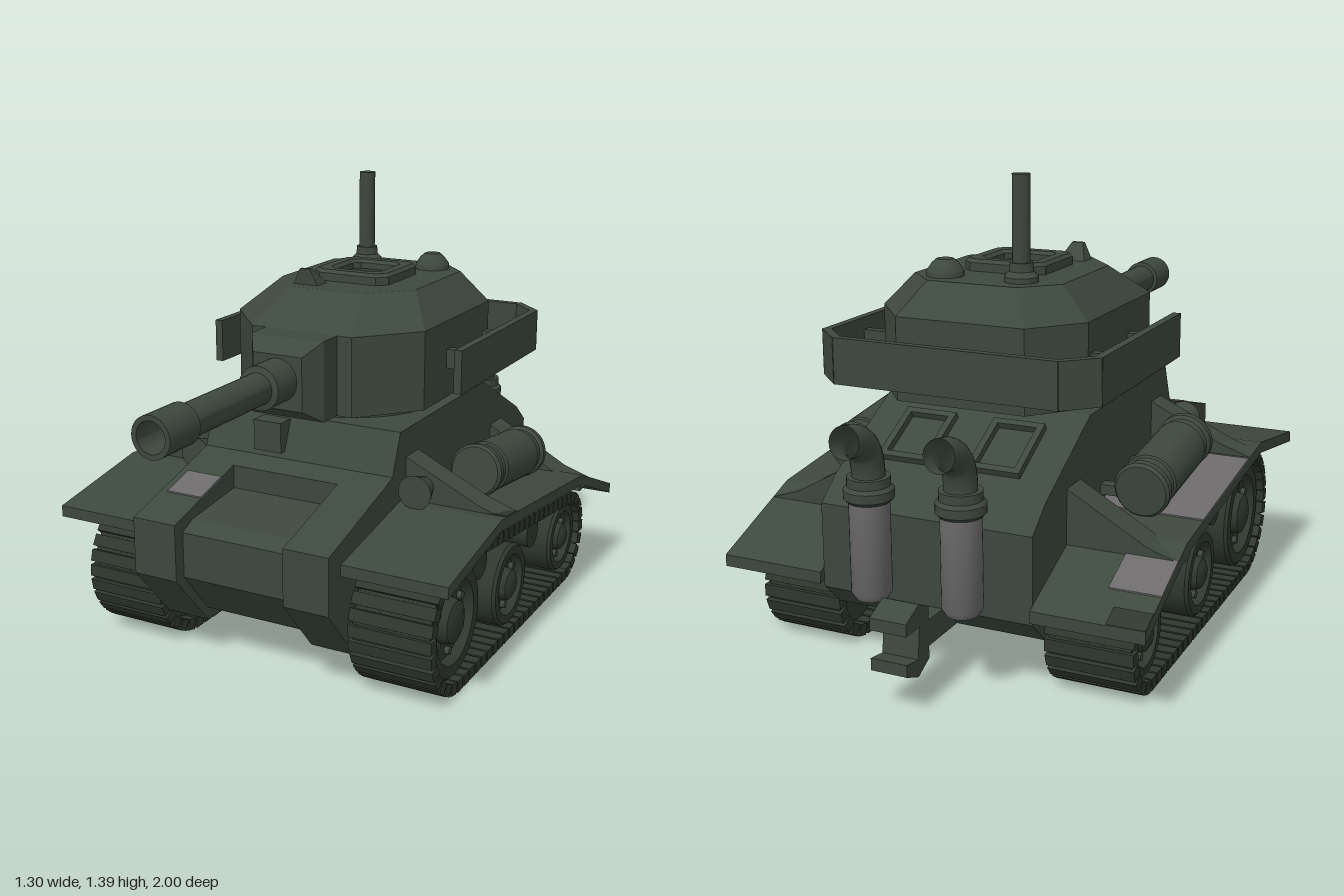
import * as THREE from 'three';
import { mergeGeometries, toCreasedNormals } from 'three/addons/utils/BufferGeometryUtils.js';

const mat = (name, color, side = THREE.FrontSide) => {
  const m = new THREE.MeshStandardMaterial({ color, side });
  m.name = name;
  return m;
};

export function createModel() {
  const root = new THREE.Group();
  root.name = 'tank';
  const green = mat('armourGreen', 0x3d483e, THREE.DoubleSide);
  const dark = mat('darkGreen', 0x2f382f);
  const grey = mat('bareMetal', 0x6c6a6a);

  const add = (name, geo, m = green, x = 0, y = 0, z = 0, parent = root) => {
    const mesh = new THREE.Mesh(geo, m);
    mesh.name = name;
    mesh.position.set(x, y, z);
    parent.add(mesh);
    return mesh;
  };
  const box = (name, x0, x1, y0, y1, z0, z1, m = green) => add(name,
    new THREE.BoxGeometry(Math.abs(x1 - x0), y1 - y0, Math.abs(z1 - z0)), m, (x0 + x1) / 2, (y0 + y1) / 2, (z0 + z1) / 2);
  const shape = pts => new THREE.Shape(pts.map(p => new THREE.Vector2(...p)));

  // side profile of [z, y] points, extruded from x0 to x1
  const slab = (name, pts, x0, x1, m = green) => {
    const g = new THREE.ExtrudeGeometry(shape(pts), { depth: Math.abs(x1 - x0), bevelEnabled: false });
    return add(name, g.rotateY(-Math.PI / 2).translate(Math.max(x0, x1), 0, 0), m);
  };
  // turned profile of [radius, height] points, about y
  const turned = (pts, seg = 32) =>
    toCreasedNormals(new THREE.LatheGeometry(pts.map(p => new THREE.Vector2(...p)), seg), 0.6);

  // stacked cross-sections, mirrored in x: { y, half: [x, z] from front to back }
  const loft = layers => {
    const loops = layers.map(({ y, half }) => [
      ...half.map(([x, z]) => [x, y, z]),
      ...[...half].reverse().map(([x, z]) => [-x, y, z])]);
    const out = [], n = loops[0].length;
    const tri = (...p) => p.forEach(v => out.push(...v));
    for (let k = 0; k + 1 < loops.length; k++) {
      for (let i = 0; i < n; i++) {
        const a = loops[k], b = loops[k + 1], j = (i + 1) % n;
        tri(a[i], a[j], b[j]);
        tri(a[i], b[j], b[i]);
      }
    }
    const lo = loops[0], hi = loops[loops.length - 1];
    for (let i = 1; i + 1 < n; i++) {
      tri(hi[0], hi[i], hi[i + 1]);
      tri(lo[0], lo[i + 1], lo[i]);
    }
    const g = new THREE.BufferGeometry();
    g.setAttribute('position', new THREE.Float32BufferAttribute(out, 3));
    g.computeVertexNormals();
    return g;
  };

  // hull: a main body, a lower nose and two cheek blocks
  slab('hullBody', [[0.34, 0.165], [0.34, 0.572], [0.27, 0.595], [0.22, 0.72], [-0.41, 0.72], [-0.72, 0.555],
    [-0.8, 0.49], [-0.8, 0.24], [-0.72, 0.165]], -0.325, 0.325);
  slab('hullNose', [[0.34, 0.165], [0.5, 0.165], [0.62, 0.31], [0.62, 0.45], [0.57, 0.475], [0.34, 0.5]], -0.18, 0.18);
  for (const s of [-1, 1]) {
    slab('hullCheek', [[0.34, 0.125], [0.5, 0.125], [0.66, 0.31], [0.66, 0.485], [0.6, 0.5], [0.34, 0.574]], s * 0.18, s * 0.325);
  }
  box('driverVisor', -0.14, -0.045, 0.615, 0.71, 0.2, 0.285);
  const vent = new THREE.Shape([[-0.08, -0.1], [0.08, -0.1], [0.08, 0.1], [-0.08, 0.1]].map(p => new THREE.Vector2(...p)));
  vent.holes.push(new THREE.Path([[-0.06, -0.08], [-0.06, 0.08], [0.06, 0.08], [0.06, -0.08]].map(p => new THREE.Vector2(...p))));
  for (const x of [-0.14, 0.14]) {
    const g = new THREE.ExtrudeGeometry(vent, { depth: 0.02, bevelEnabled: false }).rotateX(-Math.PI / 2);
    add('engineVent', g, green, x, 0.638, -0.565).rotation.x = -0.49;
  }

  // fenders, with patches laid on their upper face
  const fenderTop = [[0.59, 0.44], [0.22, 0.505], [-0.5, 0.42], [-0.82, 0.29]];
  const topAt = z => {
    const i = z > 0.22 ? 0 : z > -0.5 ? 1 : 2;
    const [a, b] = [fenderTop[i], fenderTop[i + 1]];
    return a[1] + (b[1] - a[1]) * (z - a[0]) / (b[0] - a[0]);
  };
  const patch = (x0, x1, z0, z1, m) => slab('paintPatch',
    [[z0, topAt(z0) - 0.002], [z1, topAt(z1) - 0.002], [z1, topAt(z1) + 0.004], [z0, topAt(z0) + 0.004]], x0, x1, m);
  patch(-0.65, -0.33, 0.08, -0.36, grey);
  patch(-0.65, -0.5, -0.57, -0.7, grey);
  patch(-0.65, -0.54, -0.76, -0.82, dark);
  patch(0.58, 0.65, 0.18, 0.1, dark);
  slab('hullPatch', [[0.52, 0.521], [0.41, 0.552], [0.41, 0.558], [0.52, 0.527]], -0.3, -0.18, grey);

  // running gear path, [z, y]
  const topAngle = Math.PI / 2 + 2 * Math.atan2(0.055, 0.905);
  const path = new THREE.Path();
  path.absarc(0.335, 0.215, 0.195, -Math.PI / 2, topAngle, false);
  path.absarc(-0.57, 0.16, 0.14, topAngle, Math.PI * 1.5, false);
  path.closePath();
  const links = [], count = 64, step = path.getLength() / count;
  for (let i = 0; i < count; i++) {
    const p = path.getPointAt(i / count), t = path.getTangentAt(i / count);
    const place = g => links.push(g.rotateX(Math.atan2(-t.y, t.x)).translate(0, p.y, p.x));
    place(new THREE.BoxGeometry(0.26, 0.036, step * 0.82));
    place(new THREE.BoxGeometry(0.24, 0.014, step * 1.08));
  }
  const trackGeo = mergeGeometries(links);

  const wheelGeo = r => turned([[0, -0.1], [r, -0.1], [r, 0.09], [r * 0.94, 0.1], [r * 0.74, 0.1], [r * 0.68, 0.07],
    [r * 0.4, 0.07], [r * 0.36, 0.1], [r * 0.22, 0.11], [0, 0.11]], 36).rotateZ(-Math.PI / 2);
  const boltGeo = new THREE.CylinderGeometry(0.013, 0.013, 0.03, 8).rotateZ(Math.PI / 2);
  const drumGeo = turned([[0, -0.205], [0.075, -0.205], [0.083, -0.195], [0.083, -0.175], [0.074, -0.165], [0.074, -0.135],
    [0.08, -0.13], [0.08, 0.13], [0.074, 0.135], [0.074, 0.165], [0.083, 0.175], [0.083, 0.195], [0.075, 0.205], [0, 0.205]])
    .rotateX(Math.PI / 2);

  for (const s of [-1, 1]) {
    slab('fender', [...fenderTop, ...[...fenderTop].reverse().map(([z, y]) => [z, y - 0.035])], s * 0.325, s * 0.65);
    add('track', trackGeo, dark, s * 0.455);

    for (const [z, y, r] of [[0.335, 0.215, 0.176], [-0.095, 0.165, 0.133], [-0.57, 0.16, 0.12]]) {
      const wheel = new THREE.Group();
      wheel.name = 'roadWheel';
      wheel.position.set(s * 0.465, y, z);
      wheel.rotation.y = s < 0 ? Math.PI : 0;
      root.add(wheel);
      add('wheelDisc', wheelGeo(r), dark, 0, 0, 0, wheel);
      for (let i = 0; i < 6; i++) {
        const a = i * Math.PI / 3;
        add('wheelBolt', boltGeo, green, 0.07, Math.cos(a) * r * 0.54, Math.sin(a) * r * 0.54, wheel);
      }
    }
    for (const [z, y] of [[0.1, 0.305], [-0.345, 0.25]]) {
      add('returnRoller', new THREE.CylinderGeometry(0.052, 0.052, 0.22, 24).rotateZ(Math.PI / 2), dark, s * 0.43, y, z);
    }

    // sloping fender braces
    for (const [z, y, d] of [[0.095, 0.635, 0.085], [-0.575, 0.555, 0.095]]) {
      const low = topAt(z) - 0.02;
      const g = new THREE.ExtrudeGeometry(
        shape([[s * 0.32, low], [s * 0.65, low], [s * 0.65, low + 0.02], [s * 0.56, low + 0.05], [s * 0.32, y]]),
        { depth: d, bevelEnabled: false });
      add('fenderBrace', g, green, 0, 0, z);
    }
    add('fuelDrum', drumGeo, green, s * 0.475, 0.535, -0.195).rotation.x = -0.12;
    box('drumStrap', s * 0.32, s * 0.42, 0.47, 0.5, -0.1, -0.06);
    box('drumStrap', s * 0.32, s * 0.42, 0.46, 0.49, -0.33, -0.29);
    add('headlamp', toCreasedNormals(new THREE.CylinderGeometry(0.053, 0.03, 0.07, 24).rotateX(Math.PI / 2), 0.6),
      green, s * 0.385, 0.55, 0.21);

    // exhaust stack with an open elbow
    add('exhaustStack', turned([[0, 0.26], [0.045, 0.26], [0.057, 0.28], [0.057, 0.55], [0, 0.55]]), grey, s * 0.14, 0, -0.845);
    add('exhaustCollar', turned([[0, 0.54], [0.06, 0.54], [0.07, 0.55], [0.07, 0.575], [0.06, 0.585], [0.06, 0.61], [0, 0.61]]),
      green, s * 0.14, 0, -0.845);
    const bend = new THREE.CatmullRomCurve3([[0.59, -0.845], [0.64, -0.847], [0.69, -0.865], [0.722, -0.905], [0.733, -0.96]]
      .map(([y, z]) => new THREE.Vector3(s * 0.14, y, z)));
    add('exhaustElbow', new THREE.TubeGeometry(bend, 20, 0.046, 20), green);
    box('exhaustBracket', s * 0.11, s * 0.17, 0.33, 0.37, -0.79, -0.82);
  }

  // tow hitch
  box('hitchBar', -0.055, 0.055, 0.165, 0.24, -0.72, -0.93);
  slab('hitchJaw', [[-0.88, 0.13], [-0.94, 0.1], [-1, 0.125], [-1, 0.16], [-0.94, 0.15], [-0.93, 0.24],
    [-1, 0.24], [-1, 0.275], [-0.93, 0.305], [-0.88, 0.28]], -0.055, 0.055);

  // turret
  add('turretRing', toCreasedNormals(new THREE.CylinderGeometry(0.29, 0.29, 0.05, 40), 0.6), green, 0, 0.732, -0.1);
  const plan = [[0.17, 0.235], [0.325, 0.06], [0.325, -0.43], [0.2, -0.58]];
  add('turretBody', loft([
    { y: 0.745, half: plan }, { y: 0.99, half: plan },
    { y: 1.085, half: [[0.12, 0.075], [0.235, -0.06], [0.235, -0.4], [0.14, -0.5]] }]));
  const square = (y, r) => ({ y, half: [[r, r], [r, -r]] });
  add('gunMantlet', loft([square(0.2, 0.122), square(0.315, 0.122), square(0.375, 0.082)]).rotateX(Math.PI / 2), green, 0, 0.868, 0);
  add('gunBarrel', turned([[0.066, 0.36], [0.066, 0.48], [0.048, 0.485], [0.048, 0.86], [0.06, 0.862], [0.06, 1],
    [0.045, 1], [0.04, 0.88], [0, 0.88]]).rotateX(Math.PI / 2), green, 0, 0.874, 0);

  // roof fittings
  const octagon = (r, c) => [[r, c - r], [r, r - c], [r - c, r], [c - r, r], [-r, r - c], [-r, c - r], [c - r, -r], [r - c, -r]];
  const frame = shape(octagon(0.12, 0.025));
  frame.holes.push(new THREE.Path(octagon(0.09, 0.025).reverse().map(p => new THREE.Vector2(...p))));
  add('hatchRim', new THREE.ExtrudeGeometry(frame,
    { depth: 0.025, bevelThickness: 0.01, bevelSize: 0.01, bevelSegments: 1 }).rotateX(-Math.PI / 2), green, 0, 1.085, -0.185);
  add('hatchFloor', new THREE.BoxGeometry(0.19, 0.008, 0.19), dark, 0, 1.087, -0.185);
  add('antennaBase', turned([[0, 1.06], [0.05, 1.06], [0.05, 1.1], [0.036, 1.115], [0.034, 1.14], [0, 1.14]], 20), green, -0.11, 0, -0.405);
  add('antennaRod', toCreasedNormals(new THREE.CylinderGeometry(0.026, 0.026, 0.26, 20), 0.6), green, -0.11, 1.257, -0.405);
  add('roofDome', turned([[0, 1.06], [0.055, 1.06], [0.055, 1.1], [0.04, 1.122], [0.025, 1.135], [0, 1.137]], 24), green, 0.13, 0, -0.41);
  add('gunSight', loft([
    { y: 1.07, half: [[0.05, 0.04], [0.05, -0.03]] }, { y: 1.135, half: [[0.018, 0.045], [0.018, 0.03]] }]), green, -0.1, 0, -0.01);

  // stowage rail around the turret, as plates between corner points [x, z]
  const rail = [[0.422, 0.03], [0.422, -0.59], [0.34, -0.67], [-0.34, -0.67], [-0.422, -0.59], [-0.422, 0.03]];
  for (let i = 0; i + 1 < rail.length; i++) {
    const [x0, z0] = rail[i], [x1, z1] = rail[i + 1];
    const length = Math.hypot(x1 - x0, z1 - z0) + 0.012;
    const plate = add('railPlate', new THREE.BoxGeometry(0.025, 0.135, length), green, (x0 + x1) / 2, 0.87, (z0 + z1) / 2);
    plate.rotation.y = Math.atan2(x1 - x0, z1 - z0);
  }
  for (const s of [-1, 1]) {
    box('railBracket', s * 0.1, s * 0.13, 0.83, 0.9, -0.57, -0.665);
    box('railBracket', s * 0.32, s * 0.415, 0.84, 0.9, -0.1, -0.13);
    box('railBracket', s * 0.32, s * 0.415, 0.84, 0.9, -0.38, -0.41);
  }
  return root;
}
